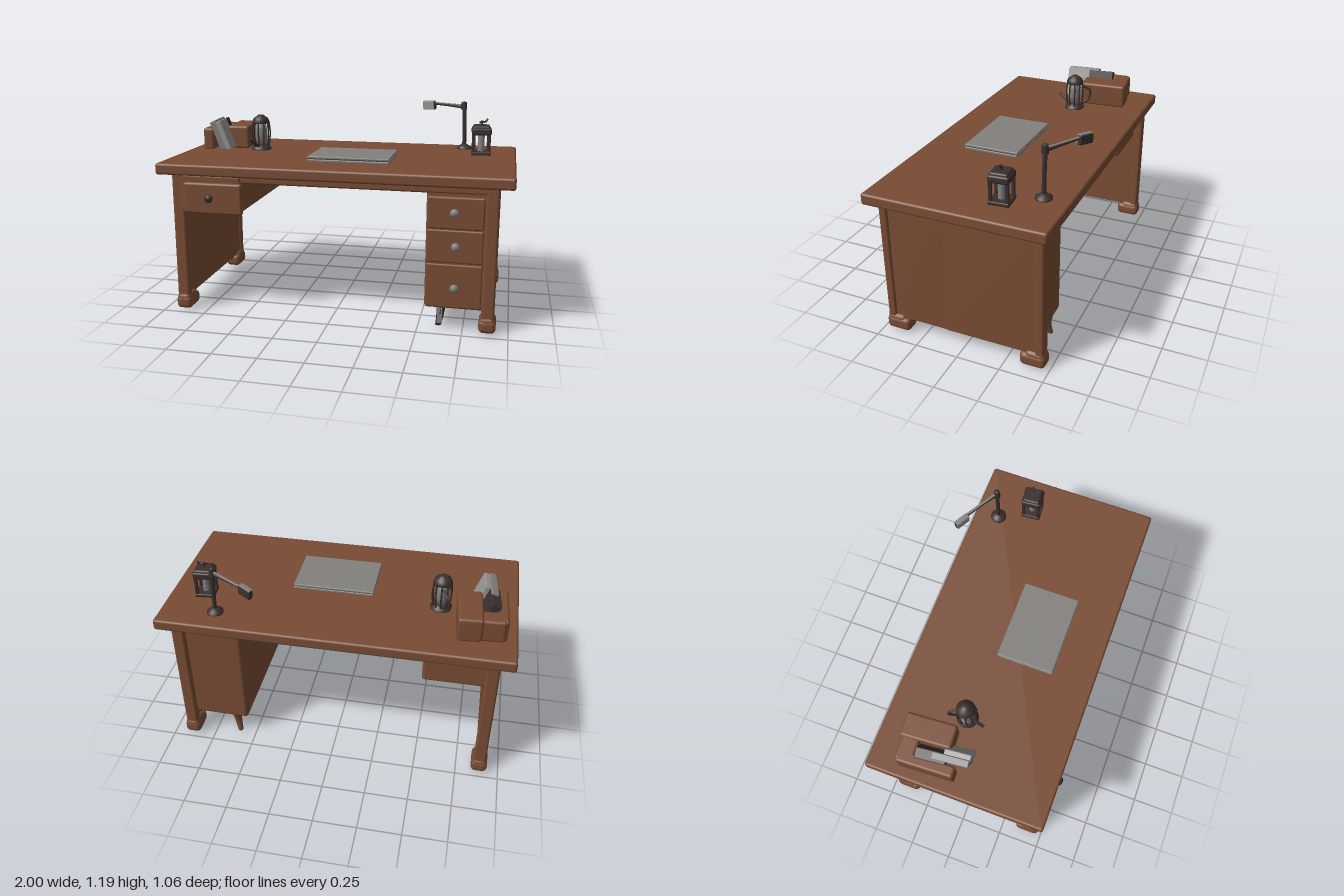
import * as THREE from 'three';
import { RoundedBoxGeometry } from 'three/addons/geometries/RoundedBoxGeometry.js';

const mat = (name, color) => {
  const m = new THREE.MeshStandardMaterial({ color });
  m.name = name;
  return m;
};

export function createModel() {
  const wood = mat('wood', 0x794c34);
  const grey = mat('grey metal', 0x83807d);
  const dark = mat('dark iron', 0x3a302e);
  const pale = mat('pale covers', 0x979592);

  const root = new THREE.Group();
  root.name = 'writingDesk';
  const group = (name, x = 0, y = 0, z = 0) => {
    const g = new THREE.Group();
    g.name = name;
    g.position.set(x, y, z);
    root.add(g);
    return g;
  };
  const add = (parent, name, geo, material, x = 0, y = 0, z = 0) => {
    const m = new THREE.Mesh(geo, material);
    m.name = name;
    m.position.set(x, y, z);
    parent.add(m);
    return m;
  };
  // softly rounded block given by its limits on each axis
  const block = (parent, name, [x0, x1], [y0, y1], [z0, z1], material = wood, r = 0.012) => {
    const w = x1 - x0, h = y1 - y0, d = z1 - z0;
    return add(parent, name, new RoundedBoxGeometry(w, h, d, 3, Math.min(r, w / 2.1, h / 2.1, d / 2.1)),
      material, (x0 + x1) / 2, (y0 + y1) / 2, (z0 + z1) / 2);
  };
  const lathe = (pts, n = 24) => new THREE.LatheGeometry(pts.map(p => new THREE.Vector2(...p)), n);
  const tube = (pts, r, n = 12) => new THREE.TubeGeometry(
    new THREE.CatmullRomCurve3(pts.map(p => new THREE.Vector3(...p))), n, r, 8);

  // desktop and the solid frame below it
  block(root, 'desktop', [-1, 1], [0.825, 0.89], [-0.513, 0.513], wood, 0.014);
  block(root, 'underFrame', [-0.91, 0.91], [0.784, 0.835], [-0.458, 0.466]);

  // panelled ends with corner posts and block feet
  for (const s of [-1, 1]) {
    const end = group(s < 0 ? 'rightEnd' : 'leftEnd');
    const span = (a, b) => (s > 0 ? [a, b] : [-b, -a]);
    block(end, 'frontBoard', span(0.862, 0.906), [0.085, 0.83], [0.1, 0.44], wood, 0.004);
    block(end, 'backBoard', span(0.862, 0.91), [0.085, 0.83], [-0.44, 0.102], wood, 0.004);
    block(end, 'topRail', span(0.855, 0.92), [0.782, 0.835], [-0.45, 0.45]);
    for (const f of [-1, 1]) {
      const zs = (a, b) => (f > 0 ? [a, b] : [-b, -a]);
      block(end, 'cornerPost', span(0.85, 0.922), [0.05, 0.835], zs(0.42, 0.468), wood, 0.014);
      block(end, 'foot', span(0.838, 0.932), [0.01, 0.088], zs(0.333, 0.478), wood, 0.026);
      block(end, 'footShoulder', span(0.843, 0.927), [0.04, 0.104], zs(0.36, 0.475), wood, 0.026);
    }
  }

  // knob: a turned profile laid along z
  const knobGeo = lathe([[0, 0], [0.014, 0], [0.01, 0.012], [0.023, 0.02], [0.024, 0.029], [0.014, 0.038], [0, 0.04]]);
  knobGeo.rotateX(Math.PI / 2);

  // single hanging drawer
  const drawer = group('hangingDrawer');
  block(drawer, 'drawerBox', [-0.87, -0.505], [0.612, 0.83], [-0.41, 0.475], wood, 0.018);
  block(drawer, 'drawerFront', [-0.842, -0.495], [0.605, 0.785], [0.46, 0.497], wood, 0.014);
  add(drawer, 'drawerKnob', knobGeo, dark, -0.683, 0.7, 0.487);

  // three-drawer pedestal
  const pedestal = group('pedestal');
  block(pedestal, 'cabinet', [0.537, 0.87], [0.135, 0.83], [-0.415, 0.462], wood, 0.022);
  for (const [y0, y1, x, ky, out] of [[0.592, 0.77, 0.69, 0.685, 0.478], [0.4, 0.586, 0.7, 0.495, 0.467], [0.142, 0.394, 0.7, 0.26, 0.467]]) {
    block(pedestal, 'drawerFront', [0.543, 0.848], [y0, y1], [0.42, out], wood, 0.01);
    add(pedestal, 'drawerKnob', knobGeo, grey, x, ky, out - 0.015);
  }
  // short bowed legs under the pedestal
  const legGeo = new THREE.CylinderGeometry(0.027, 0.016, 0.15, 12, 6);
  const lp = legGeo.attributes.position;
  for (let i = 0; i < lp.count; i++) {
    const t = 0.5 - lp.getY(i) / 0.15;
    lp.setX(i, lp.getX(i) - 0.016 * t * t);
    lp.setZ(i, lp.getZ(i) + 0.012 * Math.sin(Math.PI * t));
  }
  legGeo.computeVertexNormals();
  add(pedestal, 'frontShortLeg', legGeo, dark, 0.627, 0.075, 0.365);
  block(pedestal, 'legPlate', [0.606, 0.636], [0.02, 0.135], [0.39, 0.398], grey, 0.003);
  add(pedestal, 'backShortLeg', legGeo, wood, 0.62, 0.075, -0.385);

  // closed laptop
  const laptop = group('laptop');
  block(laptop, 'laptopBase', [-0.17, 0.303], [0.888, 0.904], [-0.053, 0.275], grey, 0.005);
  block(laptop, 'laptopSeam', [-0.165, 0.298], [0.902, 0.909], [-0.049, 0.27], dark, 0.002);
  block(laptop, 'laptopLid', [-0.17, 0.303], [0.907, 0.921], [-0.055, 0.272], grey, 0.005);

  // desk lamp
  const lamp = group('deskLamp', 0.68, 0.888, -0.368);
  add(lamp, 'lampBase', lathe([[0, 0], [0.046, 0], [0.046, 0.012], [0.03, 0.022], [0.016, 0.032], [0, 0.034]]), dark);
  add(lamp, 'lampPole', tube([[0, 0.01, 0], [-0.003, 0.14, 0], [-0.01, 0.285, -0.002]], 0.0125), dark);
  add(lamp, 'lampJoint', new THREE.CylinderGeometry(0.017, 0.02, 0.045, 12), dark, -0.01, 0.27, 0);
  add(lamp, 'lampCap', new THREE.SphereGeometry(0.014, 12, 8), dark, -0.01, 0.285, 0);
  add(lamp, 'lampArm', tube([[-0.01, 0.26, 0], [-0.11, 0.267, -0.06], [-0.21, 0.27, -0.115]], 0.0085), dark);
  const strip = block(lamp, 'armTop', [-0.1, 0.1], [-0.003, 0.003], [-0.007, 0.007], grey, 0.002);
  strip.position.set(-0.11, 0.275, -0.06);
  strip.rotation.y = -0.53;
  const head = new THREE.Group();
  head.name = 'lampHead';
  head.position.set(-0.237, 0.257, -0.128);
  head.rotation.set(0.1, -0.53, 0.12);
  lamp.add(head);
  block(head, 'lampShade', [-0.045, 0.045], [-0.03, 0.026], [-0.016, 0.014], dark, 0.01);
  block(head, 'shadeFront', [-0.043, 0.043], [-0.028, 0.025], [0.01, 0.018], pale, 0.004);
  block(head, 'shadeTop', [-0.042, 0.042], [0.021, 0.028], [-0.013, 0.014], grey, 0.003);

  // square lantern
  const lantern = group('squareLantern', 0.79, 0.888, -0.188);
  lantern.rotation.y = 0.08;
  block(lantern, 'lanternBase', [-0.057, 0.057], [0, 0.022], [-0.057, 0.057], dark, 0.006);
  block(lantern, 'lanternRoof', [-0.058, 0.058], [0.122, 0.165], [-0.058, 0.058], dark, 0.012);
  block(lantern, 'lanternCap', [-0.05, 0.05], [0.15, 0.178], [-0.05, 0.05], dark, 0.012);
  for (const x of [-1, 1]) for (const z of [-1, 1])
    block(lantern, 'lanternPost', [x * 0.045 - 0.009, x * 0.045 + 0.009], [0.015, 0.14],
      [z * 0.045 - 0.009, z * 0.045 + 0.009], dark, 0.004);
  add(lantern, 'candle', new THREE.CylinderGeometry(0.02, 0.02, 0.11, 16), grey, 0, 0.072, 0);
  add(lantern, 'finialStem', new THREE.CylinderGeometry(0.006, 0.009, 0.04, 10), dark, 0, 0.185, 0);
  add(lantern, 'finialHook', tube([[-0.018, 0.192, 0.012], [0, 0.198, 0], [0.02, 0.198, -0.004], [0.034, 0.216, -0.006]], 0.006), dark);

  // round caged lantern
  const cage = group('roundLantern', -0.563, 0.888, -0.08);
  add(cage, 'cageBase', lathe([[0, 0], [0.06, 0], [0.062, 0.012], [0.045, 0.024], [0.038, 0.036], [0, 0.036]]), dark);
  add(cage, 'cageDome', lathe([[0, 0.165], [0.05, 0.165], [0.053, 0.176], [0.045, 0.196], [0.025, 0.21], [0.016, 0.218], [0, 0.219]]), dark);
  add(cage, 'cageGlass', lathe([[0, 0.03], [0.026, 0.03], [0.037, 0.08], [0.036, 0.13], [0.03, 0.168], [0, 0.168]]), grey);
  for (let i = 0; i < 10; i++) {
    const a = (i + 0.5) * Math.PI / 5, c = Math.cos(a), s = Math.sin(a);
    add(cage, 'cageBar', tube([[0.045, 0.015], [0.053, 0.07], [0.055, 0.12], [0.049, 0.175]]
      .map(([r, y]) => [r * c, y, r * s]), 0.005), dark);
  }
  add(cage, 'spout', tube([[-0.01, 0.03, 0.045], [-0.022, 0.05, 0.08], [-0.035, 0.075, 0.115]], 0.009), dark);
  add(cage, 'handle', tube([[-0.01, 0.15, -0.045], [-0.035, 0.12, -0.09], [-0.028, 0.06, -0.085], [-0.01, 0.03, -0.045]], 0.007, 20), dark);

  // wooden boxes with books leaning against them
  const boxes = group('boxesAndBooks');
  block(boxes, 'outerBox', [-0.932, -0.865], [0.885, 1.02], [-0.34, -0.02], wood, 0.016).rotation.y = 0.05;
  block(boxes, 'outerBoxBack', [-0.925, -0.785], [0.885, 1.02], [-0.352, -0.25], wood, 0.016).rotation.y = 0.05;
  block(boxes, 'innerBox', [-0.797, -0.66], [0.885, 1.03], [-0.372, -0.085], wood, 0.016).rotation.y = 0.07;
  const book = (name, x, y, z, t, h, d, m, lean) => {
    const b = add(boxes, name, new RoundedBoxGeometry(t, h, d, 2, 0.005), m, x, y, z);
    b.rotation.set(0, 0.1, lean);
  };
  book('darkBook', -0.828, 0.975, -0.165, 0.06, 0.17, 0.17, dark, 0.36);
  book('thickBook', -0.812, 0.985, -0.06, 0.04, 0.185, 0.2, grey, 0.36);
  book('paleBook', -0.776, 0.985, -0.032, 0.034, 0.185, 0.145, pale, 0.36);

  return root;
}
